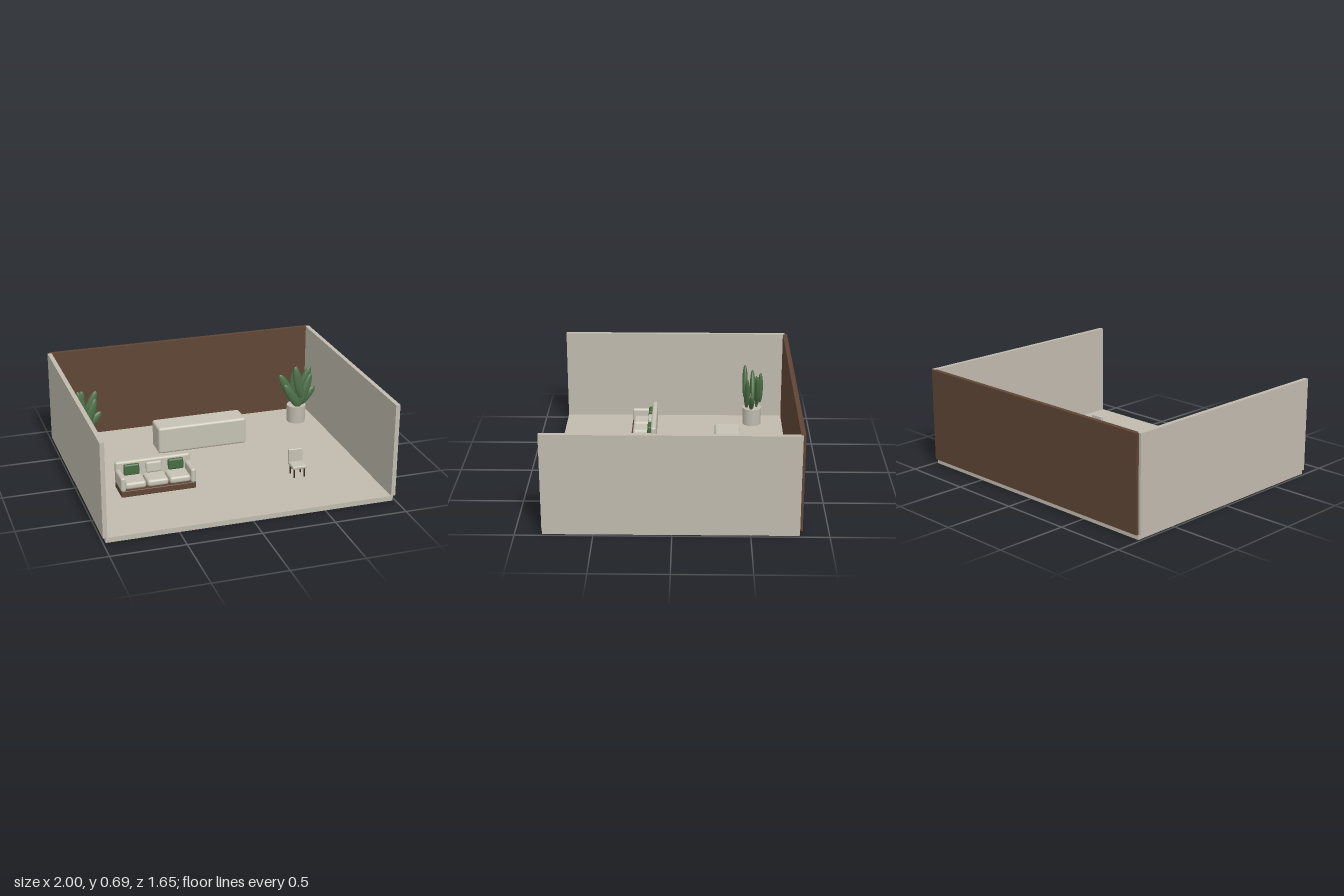
import * as THREE from 'three';
import { RoundedBoxGeometry } from 'three/addons/geometries/RoundedBoxGeometry.js';

const mat = (name, color) => {
  const m = new THREE.MeshStandardMaterial({ color });
  m.name = name;
  return m;
};

export function createModel() {
  const stone = mat('warm beige', 0xc1bbae);
  const fabric = mat('light upholstery', 0xc5c1b3);
  const wood = mat('brown wood', 0x5f4534);
  const darkWood = mat('dark wood', 0x3c2a20);
  const green = mat('leaf green', 0x4c6f47);
  const cushionGreen = mat('cushion green', 0x44683f);

  const room = new THREE.Group();
  room.name = 'room';

  const group = (name) => {
    const g = new THREE.Group();
    g.name = name;
    room.add(g);
    return g;
  };
  const add = (parent, name, geometry, material) => {
    const mesh = new THREE.Mesh(geometry, material);
    mesh.name = name;
    parent.add(mesh);
    return mesh;
  };
  // Box given by its limits; a radius makes it rounded
  const box = (parent, name, material, [x0, x1], [y0, y1], [z0, z1], r = 0) => {
    const s = [x1 - x0, y1 - y0, z1 - z0];
    const geo = r ? new RoundedBoxGeometry(...s, 3, r) : new THREE.BoxGeometry(...s);
    const mesh = add(parent, name, geo, material);
    mesh.position.set((x0 + x1) / 2, (y0 + y1) / 2, (z0 + z1) / 2);
    return mesh;
  };

  // Floor and walls
  const shell = group('shell');
  box(shell, 'floor', stone, [-0.983, 0.983], [0, 0.035], [-0.81, 0.825]);
  box(shell, 'backWall', wood, [-0.983, 0.983], [0.035, 0.69], [-0.828, -0.797]);
  box(shell, 'rightWall', stone, [-1, -0.97], [0.035, 0.69], [-0.81, 0.825]);
  box(shell, 'leftWall', stone, [0.97, 1], [0.035, 0.69], [-0.81, 0.825]);

  // Long counter
  box(room, 'counter', fabric, [-0.33, 0.325], [0.035, 0.232], [-0.463, -0.283], 0.018);

  // Three-seat sofa
  const sofa = group('sofa');
  box(sofa, 'sofaBase', wood, [-0.753, -0.237], [0.04, 0.085], [0.14, 0.322], 0.005);
  box(sofa, 'sofaBack', fabric, [-0.755, -0.235], [0.08, 0.23], [0.135, 0.172], 0.014);
  box(sofa, 'rightArm', fabric, [-0.755, -0.72], [0.08, 0.18], [0.15, 0.322], 0.014);
  box(sofa, 'leftArm', fabric, [-0.27, -0.235], [0.08, 0.18], [0.15, 0.322], 0.014);
  for (let i = 0; i < 3; i++) {
    const x = -0.495 + (i - 1) * 0.154;
    box(sofa, 'seatCushion', fabric, [x - 0.073, x + 0.073], [0.085, 0.133], [0.168, 0.31], 0.018);
    const pillow = box(sofa, 'pillow', i === 1 ? fabric : cushionGreen,
      [x - 0.054, x + 0.054], [0.138, 0.214], [0.172, 0.2], 0.012);
    pillow.rotation.x = -0.08;
  }

  // Side chair
  const chair = group('chair');
  box(chair, 'chairSeat', fabric, [0.437, 0.54], [0.1, 0.124], [0.28, 0.383], 0.008);
  box(chair, 'chairBack', fabric, [0.437, 0.54], [0.12, 0.216], [0.277, 0.296], 0.006);
  for (const x of [0.452, 0.525]) {
    for (const z of [0.294, 0.368]) {
      const leg = add(chair, 'chairLeg', new THREE.CylinderGeometry(0.006, 0.005, 0.068, 10), darkWood);
      leg.position.set(x, 0.069, z);
    }
  }

  // Leaves as flattened ellipsoids: base x, base y, tip x, tip y, depth offset
  const leaves = [
    [0.015, 0.24, -0.035, 0.485, 0.055],
    [-0.02, 0.2, -0.132, 0.41, -0.006],
    [0.015, 0.2, 0.115, 0.44, -0.035],
    [0.0, 0.15, 0.137, 0.295, 0.006],
    [0.01, 0.155, -0.11, 0.345, 0.04],
    [0.005, 0.165, 0.094, 0.41, 0.038],
    [0.0, 0.165, -0.105, 0.37, -0.035],
    [-0.015, 0.2, 0.018, 0.44, -0.06],
  ];
  const leafGeo = new THREE.SphereGeometry(1, 20, 14);
  for (const side of [-1, 1]) {
    const plant = group('plant');
    plant.position.set(side * 0.819, 0, -0.57);
    const pot = add(plant, 'pot', new THREE.CylinderGeometry(0.071, 0.068, 0.13, 24), stone);
    pot.position.y = 0.1;
    for (const [x0, y0, x1, y1, z] of leaves) {
      const leaf = add(plant, 'leaf', leafGeo, green);
      leaf.position.set((x0 + x1) / 2, (y0 + y1) / 2, z);
      leaf.rotation.z = Math.atan2(x0 - x1, y1 - y0);
      leaf.scale.set(0.034, Math.hypot(x1 - x0, y1 - y0) / 2 + 0.004, 0.02);
    }
  }

  return room;
}
